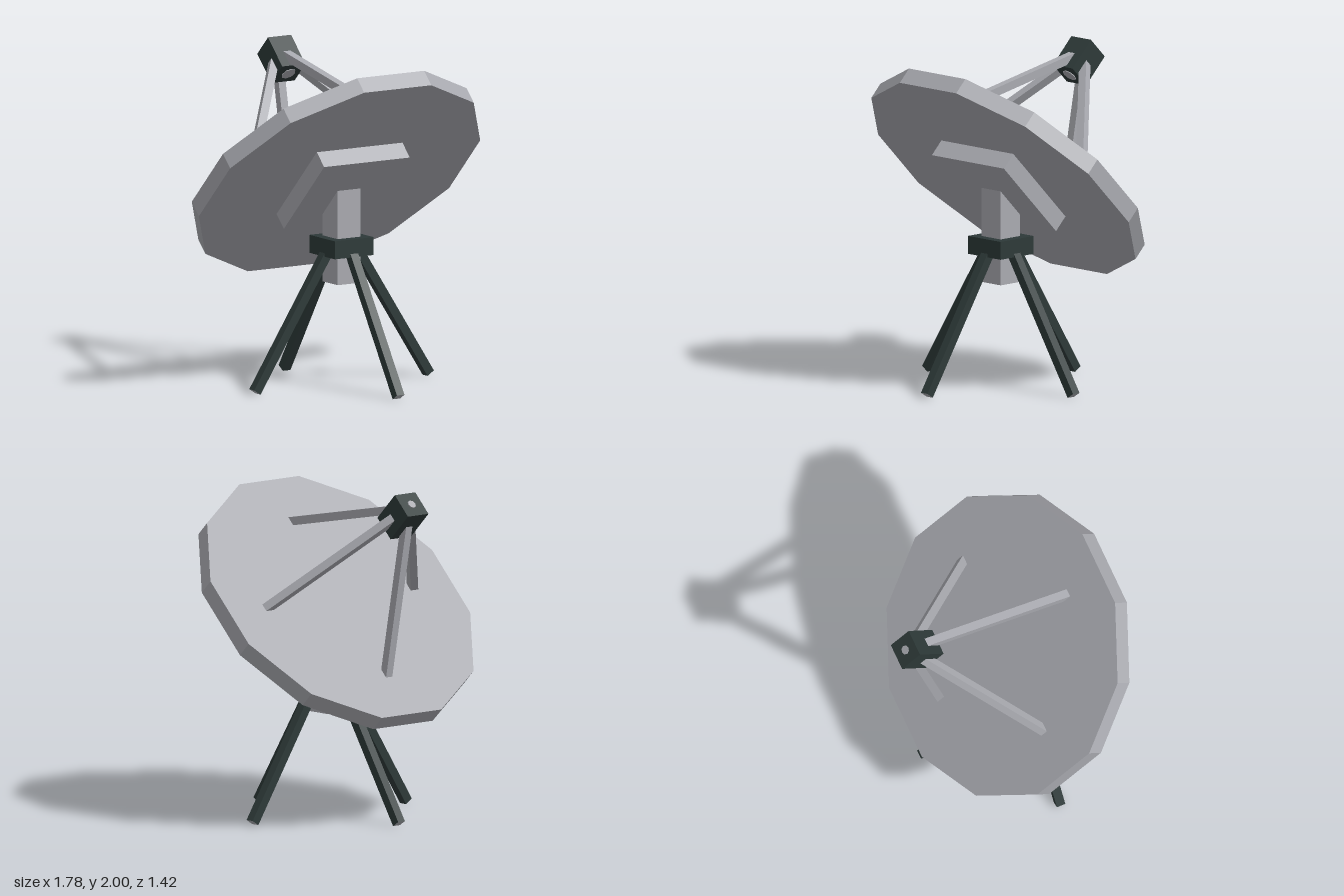
import * as THREE from 'three';

export function createModel() {
  const model = new THREE.Group();
  model.name = 'satelliteDish';

  const lightGrey = new THREE.MeshStandardMaterial({ color: 0xa9aab0, flatShading: true });
  lightGrey.name = 'lightGrey';
  const darkGreen = new THREE.MeshStandardMaterial({ color: 0x2d3938, flatShading: true });
  darkGreen.name = 'darkGreenGrey';

  function add(parent, name, geometry, material, x = 0, y = 0, z = 0) {
    const mesh = new THREE.Mesh(geometry, material);
    mesh.name = name;
    mesh.position.set(x, y, z);
    parent.add(mesh);
    return mesh;
  }

  // Square bar leaning in the x-y plane, from (x0, y0) up to (x1, y1)
  function addBar(parent, name, x0, y0, x1, y1, width, material) {
    const length = Math.hypot(x1 - x0, y1 - y0);
    const bar = add(parent, name, new THREE.BoxGeometry(width, length, width), material,
      (x0 + x1) / 2, (y0 + y1) / 2, 0);
    bar.rotation.z = Math.atan2(x0 - x1, y1 - y0);
    return bar;
  }

  // Four copies of a bar around a vertical axis
  function addBarRing(parent, name, ...bar) {
    for (let i = 0; i < 4; i++) {
      const arm = new THREE.Group();
      arm.name = name + (i + 1);
      arm.rotation.y = i * Math.PI / 2;
      addBar(arm, name + 'Bar', ...bar);
      parent.add(arm);
    }
  }

  // Stand: post, hub and four splayed legs with pale foot ends
  const stand = new THREE.Group();
  stand.name = 'stand';
  stand.position.z = 0.078;
  model.add(stand);
  add(stand, 'post', new THREE.BoxGeometry(0.163, 0.59, 0.163), lightGrey, 0, 0.915, 0);
  add(stand, 'hub', new THREE.BoxGeometry(0.275, 0.108, 0.275), darkGreen, 0, 0.843, 0);
  const legMaterials = [darkGreen, darkGreen, darkGreen, lightGrey, darkGreen, darkGreen];
  addBarRing(stand, 'leg', 0.615, 0.017, 0.08, 0.85, 0.054, legMaterials);

  // Tilted head: local +y is the direction the dish points
  const head = new THREE.Group();
  head.name = 'dishHead';
  head.position.set(0, 1.279, 0.018);
  head.rotation.x = -Math.PI / 4;
  model.add(head);

  // Twelve-sided reflector with flats at top, bottom and sides
  const reflector = new THREE.CylinderGeometry(0.919, 0.919, 0.108, 12);
  reflector.rotateY(Math.PI / 12);
  add(head, 'reflector', reflector, lightGrey);
  add(head, 'mountingPlate', new THREE.BoxGeometry(0.608, 0.13, 0.614), lightGrey, 0, -0.1, 0);

  // Receiver box held by four struts, with a tapered horn through it
  addBarRing(head, 'strut', 0.595, 0.03, 0.06, 0.82, 0.05, lightGrey);
  add(head, 'receiver', new THREE.BoxGeometry(0.164, 0.217, 0.164), darkGreen, 0, 0.834, 0);
  add(head, 'feedHorn', new THREE.CylinderGeometry(0.027, 0.045, 0.226, 8), lightGrey, 0, 0.834, 0);

  return model;
}
